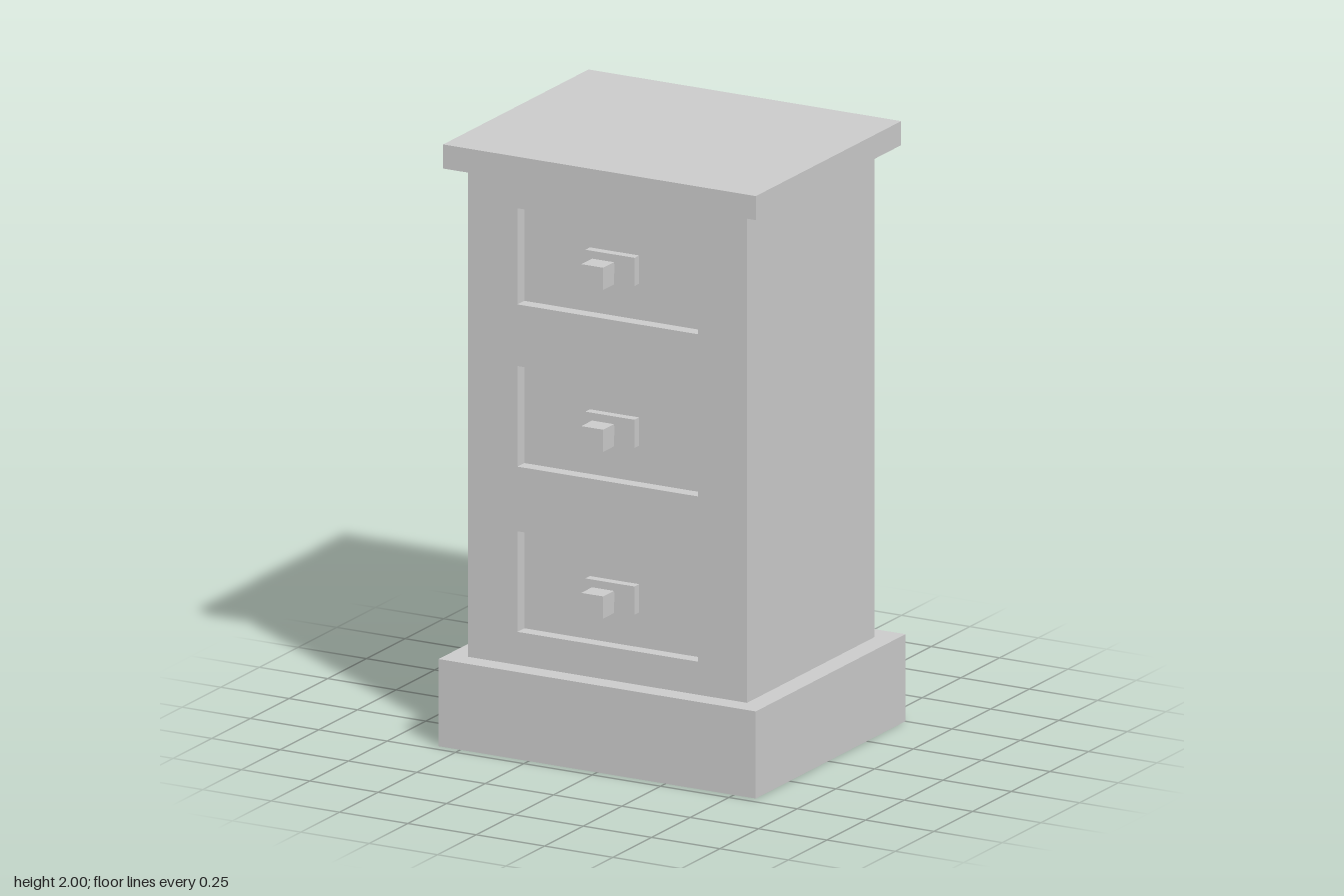
import * as THREE from 'three';

const material = new THREE.MeshStandardMaterial({ color: 0xcccccc, flatShading: true });

// Box given by its extents along each axis
function box(name, [x0, x1], [y0, y1], [z0, z1]) {
  const mesh = new THREE.Mesh(new THREE.BoxGeometry(x1 - x0, y1 - y0, z1 - z0), material);
  mesh.position.set((x0 + x1) / 2, (y0 + y1) / 2, (z0 + z1) / 2);
  mesh.name = name;
  return mesh;
}

// Rectangle outline, for the front frame and its openings
function rectangle(path, halfWidth, y0, y1) {
  path.moveTo(-halfWidth, y0);
  path.lineTo(halfWidth, y0);
  path.lineTo(halfWidth, y1);
  path.lineTo(-halfWidth, y1);
  path.closePath();
  return path;
}

const BODY = { half: 0.51, bottom: 0.29, top: 1.92, back: -0.425, front: 0.4 };
const PANEL_Z = 0.355; // face of the recessed drawers
const DRAWERS = [
  { bottom: 0.4, top: 0.735, knob: 0.563 },
  { bottom: 0.95, top: 1.285, knob: 1.118 },
  { bottom: 1.49, top: 1.81, knob: 1.657 },
];

// Square knob on a short stem and a back plate
function createHandle(y) {
  const handle = new THREE.Group();
  handle.name = 'drawerHandle';
  handle.add(
    box('handlePlate', [-0.09, 0.09], [y - 0.047, y + 0.047], [PANEL_Z, 0.385]),
    box('handleStem', [-0.016, 0.016], [y - 0.016, y + 0.016], [0.385, 0.43]),
    box('handleKnob', [-0.04, 0.04], [y - 0.037, y + 0.037], [0.43, 0.5]),
  );
  return handle;
}

export function createModel() {
  const model = new THREE.Group();
  model.name = 'drawerCabinet';

  // Plinth, carcass and top slab
  model.add(
    box('plinth', [-0.58, 0.58], [0, BODY.bottom], [-0.5, 0.468]),
    box('carcass', [-BODY.half, BODY.half], [BODY.bottom, BODY.top], [BODY.back, PANEL_Z]),
    box('topSlab', [-0.572, 0.572], [BODY.top, 2], [-0.487, 0.453]),
  );

  // Front frame with an opening for each drawer
  const outline = rectangle(new THREE.Shape(), BODY.half, BODY.bottom, BODY.top);
  for (const d of DRAWERS) {
    outline.holes.push(rectangle(new THREE.Path(), 0.33, d.bottom, d.top));
  }
  const frame = new THREE.Mesh(
    new THREE.ExtrudeGeometry(outline, { depth: BODY.front - PANEL_Z, bevelEnabled: false }),
    material,
  );
  frame.position.z = PANEL_Z;
  frame.name = 'frontFrame';
  model.add(frame);

  for (const d of DRAWERS) model.add(createHandle(d.knob));
  return model;
}
